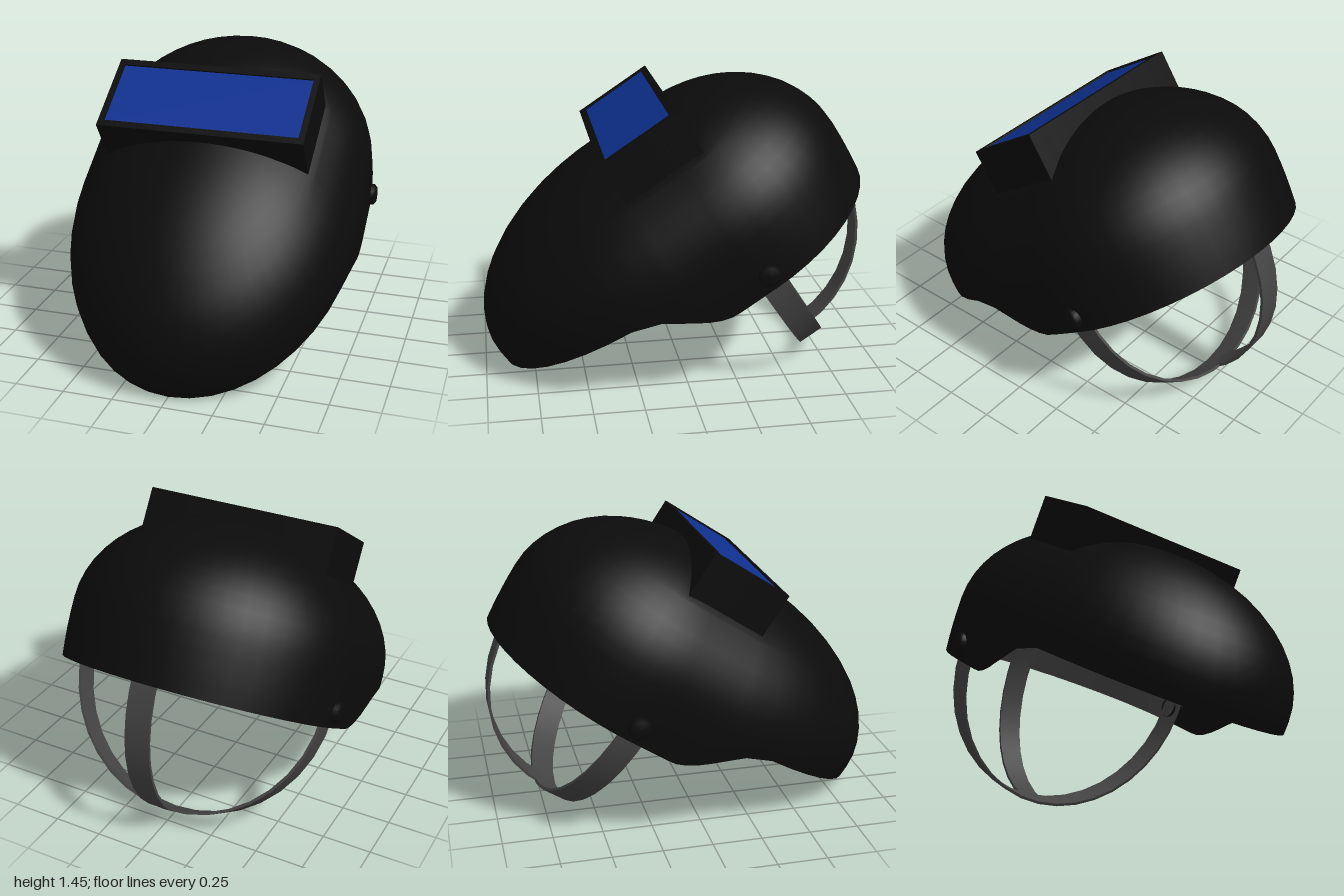
import * as THREE from 'three';
import { toCreasedNormals } from 'three/addons/utils/BufferGeometryUtils.js';

const material = (color) => new THREE.MeshStandardMaterial({ color, side: THREE.DoubleSide });

// Local frame: x across, y out of the face, z from crown to chin, origin at the pivots.
const WIDTH = 0.735, CROWN = 0.715, CHIN = 0.996, SPINE = 0.4;
const BASE = 0.225, TOP = 0.81;
const smooth = THREE.MathUtils.smoothstep;

// Height of the domed face above a plan position
function domeHeight(x, z) {
  const along = z < 0 ? z / CROWN : z > SPINE ? (z - SPINE) / CHIN : 0;
  const k = Math.hypot(along, x / WIDTH);
  return BASE + (TOP - BASE) * Math.sqrt(Math.max(0, 1 - k * k));
}

// Plan outline: half ellipse at chin, straight sides, half ellipse at crown
function outline() {
  const pts = [], n = 22, side = 8;
  const add = (sin, cos, base) => pts.push({ sin, cos, base });
  for (let i = 0; i <= n; i++) {
    const t = -Math.PI / 2 + Math.PI * i / n;
    add(Math.sin(t), Math.cos(t) * CHIN, SPINE);
  }
  for (let i = 1; i < side; i++) add(1, 0, SPINE * (1 - i / side));
  for (let i = 0; i <= n; i++) {
    const t = Math.PI / 2 + Math.PI * i / n;
    add(Math.sin(t), Math.cos(t) * CROWN, 0);
  }
  for (let i = 1; i < side; i++) add(-1, 0, SPINE * i / side);
  return pts;
}

// Skin a list of equal-length closed loops
function loft(rows, closeRows = false) {
  const n = rows[0].length, pos = rows.flat(2), index = [];
  const last = closeRows ? rows.length : rows.length - 1;
  for (let r = 0; r < last; r++) for (let i = 0; i < n; i++) {
    const j = (i + 1) % n, s = (r + 1) % rows.length;
    const a = r * n + i, b = r * n + j, c = s * n + j, d = s * n + i;
    index.push(a, b, c, a, c, d);
  }
  const g = new THREE.BufferGeometry();
  g.setAttribute('position', new THREE.Float32BufferAttribute(pos, 3));
  g.setIndex(index);
  g.computeVertexNormals();
  return g;
}

// Window rectangle, centred on z = WIN_Z
const WIN_Z = 0.137;

function shellGeometry() {
  const plan = outline(), rows = [];
  const at = (p, k) => [p.sin * WIDTH * k, p.base + p.cos * k];
  // Side wall, from the stepped rim up to the dome
  for (let r = 0; r < 4; r++) rows.push(plan.map((p) => {
    const rim = -0.07 + 0.23 * smooth(p.base + p.cos, 0.22, 0.66);
    const y = THREE.MathUtils.lerp(rim, BASE, r / 4);
    const [x, z] = at(p, 1 - 0.08 * (BASE - y) ** 2 / 0.3);
    return [x, y, z];
  }));
  // Dome
  const turn = Math.acos(0.75);
  for (let r = 0; r <= 6; r++) {
    const k = Math.cos(turn * r / 6);
    rows.push(plan.map((p) => {
      const [x, z] = at(p, k);
      return [x, BASE + (TOP - BASE) * Math.sqrt(1 - k * k), z];
    }));
  }
  // Face, closing in on the window opening
  for (let r = 1; r <= 7; r++) rows.push(plan.map((p) => {
    const [x0, z0] = at(p, 0.75), dz = z0 - WIN_Z;
    const s = 1 / Math.max(Math.abs(x0) / 0.505, Math.abs(dz) / 0.2);
    const f = 1 + (s - 1) * r / 7;
    const x = x0 * f, z = WIN_Z + dz * f;
    return [x, domeHeight(x, z), z];
  }));
  return loft(rows);
}

// Window box whose lower edges follow the dome
function windowBoxGeometry() {
  const steps = 14;
  const rect = (hx, hz) => {
    const corners = [[-hx, -hz], [hx, -hz], [hx, hz], [-hx, hz]], pts = [];
    corners.forEach(([x, z], c) => {
      const [u, v] = corners[(c + 1) % 4];
      for (let i = 0; i < steps; i++) {
        const t = i / steps;
        pts.push([x + (u - x) * t, WIN_Z + z + (v - z) * t]);
      }
    });
    return pts;
  };
  const outer = rect(0.52, 0.218), inner = rect(0.49, 0.182);
  const foot = ([x, z]) => [x, domeHeight(x, z) - 0.012, z];
  const lip = ([x, z]) => [x, 0.872, z];
  return toCreasedNormals(loft([outer.map(foot), outer.map(lip), inner.map(lip), inner.map(foot)], true), 0.5);
}

// Flat strap bent round the y axis
function strapGeometry(start, length, segments) {
  const r = 0.69, w = 0.066, t = 0.014;
  const profile = [[r - t, -w], [r, -w], [r, w], [r - t, w], [r - t, -w]].map(([x, y]) => new THREE.Vector2(x, y));
  return toCreasedNormals(new THREE.LatheGeometry(profile, segments, start, length), 0.6);
}

export function createModel() {
  const root = new THREE.Group();
  root.name = 'faceShieldHelmet';
  const helmet = new THREE.Group();
  helmet.name = 'tiltedHelmet';
  helmet.position.set(0, 0.63, -0.35);
  helmet.rotation.x = THREE.MathUtils.degToRad(33.5);
  root.add(helmet);

  const black = material(0x0b0b0c), grey = material(0x444444), blue = material(0x0e3090);
  const add = (name, geometry, mat) => {
    const mesh = new THREE.Mesh(geometry, mat);
    mesh.name = name;
    helmet.add(mesh);
    return mesh;
  };

  add('shell', shellGeometry(), black);
  add('windowBox', windowBoxGeometry(), black);
  add('lens', new THREE.BoxGeometry(0.985, 0.012, 0.368).translate(0, 0.858, WIN_Z), blue);

  // Head harness: full band, crown strap front to back, strap from side to side
  const half = Math.PI / 2, squash = 0.63 / 0.69;
  add('headBand', strapGeometry(0, Math.PI * 2, 36).rotateX(half), grey);
  add('crownStrap', strapGeometry(half, Math.PI, 18).rotateZ(half).scale(1, 1, squash), grey);
  add('sideToSideStrap', strapGeometry(half, Math.PI, 18).scale(1, 1, squash), grey);

  // Pivot knobs
  for (const s of [-1, 1]) {
    const profile = [[0.055, 0.66], [0.055, 0.742], [0.042, 0.754], [0, 0.756]].map(([x, y]) => new THREE.Vector2(x, y));
    const knob = add(s > 0 ? 'leftKnob' : 'rightKnob', new THREE.LatheGeometry(profile, 20), black);
    knob.rotation.z = -s * half;
    knob.position.set(0, 0.012, -0.01);
  }
  return root;
}
